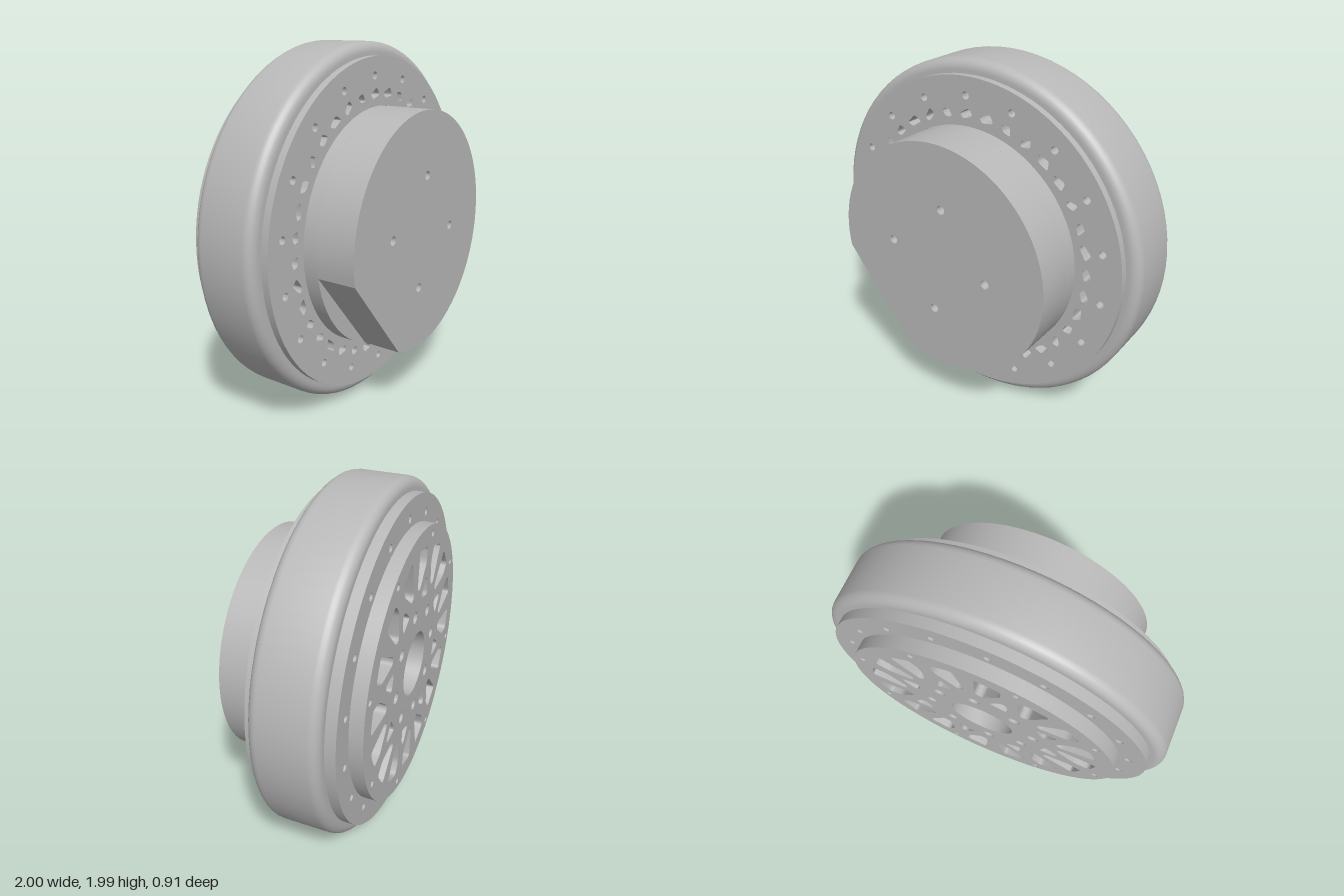
import * as THREE from 'three';
import { toCreasedNormals } from 'three/addons/utils/BufferGeometryUtils.js';

const DEG = Math.PI / 180;
const polar = (deg, r, cx = 0, cy = 0) =>
  new THREE.Vector2(cx + r * Math.cos(deg * DEG), cy + r * Math.sin(deg * DEG));

// Circle or arc as a list of points
function arc(r, n, cx = 0, cy = 0, from = 0, to = 360) {
  const steps = to - from === 360 ? n : n + 1;
  return Array.from({ length: steps }, (_, i) => polar(from + ((to - from) * i) / n, r, cx, cy));
}

// Closed polygon with rounded corners
function rounded(points, amount) {
  const path = new THREE.Path();
  points.forEach((p, i) => {
    const before = points[(i + points.length - 1) % points.length];
    const after = points[(i + 1) % points.length];
    const a = p.clone().lerp(before, Math.min(0.45, amount / p.distanceTo(before)));
    const b = p.clone().lerp(after, Math.min(0.45, amount / p.distanceTo(after)));
    if (i === 0) path.moveTo(a.x, a.y);
    else path.lineTo(a.x, a.y);
    path.quadraticCurveTo(p.x, p.y, b.x, b.y);
  });
  path.closePath();
  return path;
}

export function createModel() {
  const model = new THREE.Group();
  const wheel = new THREE.Group();
  wheel.name = 'wheel';
  wheel.position.y = 1;
  wheel.rotation.y = 3.05 * DEG;
  model.add(wheel);

  const grey = new THREE.MeshStandardMaterial({ color: 0xb8b8b8 });
  grey.name = 'plain grey';

  function add(name, geometry) {
    const mesh = new THREE.Mesh(toCreasedNormals(geometry, 0.5), grey);
    mesh.name = name;
    wheel.add(mesh);
  }

  // Plate between two depths, with holes given as paths
  function plate(name, outline, holes, back, front) {
    const shape = new THREE.Shape(outline);
    shape.holes = holes;
    const geometry = new THREE.ExtrudeGeometry(shape, {
      depth: front - back, bevelEnabled: false, curveSegments: 4,
    });
    geometry.translate(0, 0, back);
    add(name, geometry);
  }
  const hole = (deg, r, size) => {
    const c = polar(deg, r);
    return new THREE.Path(arc(size, 16, c.x, c.y));
  };

  // Tyre: a closed ring section with rounded shoulders
  const section = [new THREE.Vector2(0.9, -0.288)];
  for (let i = 0; i <= 6; i++) section.push(polar(-90 + i * 15, 0.055, 0.939, -0.233));
  for (let i = 0; i <= 6; i++) section.push(polar(i * 15, 0.055, 0.939, 0.025));
  section.push(new THREE.Vector2(0.9, 0.08), new THREE.Vector2(0.9, -0.288));
  const tyre = new THREE.LatheGeometry(section, 80);
  tyre.rotateX(Math.PI / 2);
  add('tyre', tyre);

  // Drum: both flanges, bolt holes and a ring of irregular vents
  const drumHoles = [new THREE.Path(arc(0.658, 96))];
  for (let i = 0; i < 18; i++) drumHoles.push(hole(92 + i * 20, 0.82, 0.021));
  for (let i = 0; i < 36; i++) {
    const lean = Math.sin(i * 2.4) * 0.012;
    const wide = 3.1 + 0.7 * Math.sin(i * 1.7);
    const a = i * 10 + 2;
    drumHoles.push(rounded([
      polar(a - wide, 0.712 + lean),
      polar(a + wide * 0.5, 0.698 - lean * 0.5),
      polar(a + wide, 0.73 - lean),
      polar(a - wide * 0.4, 0.755 + lean * 0.5),
    ], 0.015));
  }
  plate('flangedDrum', arc(0.92, 96), drumHoles, -0.345, 0.12);

  // Back disc: bore, lug holes, mesh spoke windows and rim screws
  const discHoles = [new THREE.Path(arc(0.182, 48))];
  for (let k = 0; k < 8; k++) {
    const a = 84 + k * 45;
    const mid = a + 22.5;
    discHoles.push(hole(a, 0.305, 0.034), hole(mid, 0.72, 0.02));
    discHoles.push(rounded([
      polar(mid - 8.5, 0.385), polar(mid + 8.5, 0.385), polar(mid + 2, 0.485), polar(mid - 2, 0.485),
    ], 0.03));
    for (const side of [-1, 1]) {
      discHoles.push(rounded([
        polar(a + side * 3.5, 0.46), polar(a + side * 8.5, 0.44), polar(a + side * 18, 0.575),
        polar(a + side * 17, 0.66), polar(a + side * 5, 0.675),
      ], 0.025));
    }
  }
  plate('spokedBackDisc', arc(0.77, 96), discHoles, -0.42, -0.3);

  // Hub: round base, then a body with one flat side and four screw pits
  plate('hubBase', arc(0.657, 96), [], -0.22, 0.2);
  const pits = [0, 1, 2, 3].map((k) => hole(84 + k * 90, 0.31, 0.025));
  plate('hubBody', arc(0.657, 80, 0, 0, 249, 549.6), pits, 0.2, 0.417);

  return model;
}
